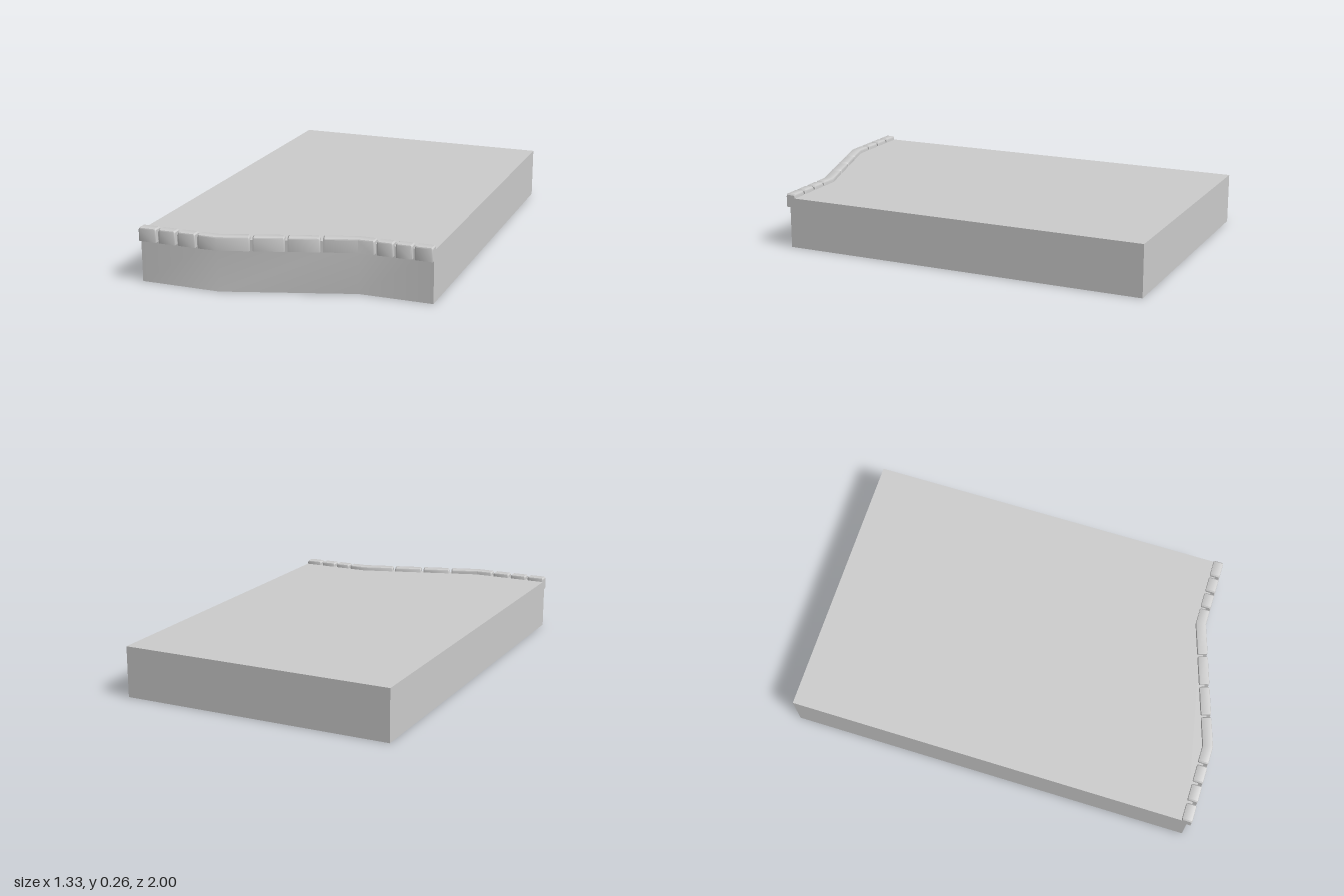
import * as THREE from 'three';
import { toCreasedNormals } from 'three/addons/utils/BufferGeometryUtils.js';

const HALF = 0.663, DECK = 0.245, CREASE = 0.5;
const material = new THREE.MeshStandardMaterial({ color: 0xcccccc });
const shellMaterial = new THREE.MeshStandardMaterial({ color: 0xcccccc, side: THREE.DoubleSide });

// Line of the front wall, [x, z], with two bends
const front = [[-HALF, 0.978], [-0.28, 0.978], [0.315, 0.786], [HALF, 0.786]];
const slope = (front[2][1] - front[1][1]) / (front[2][0] - front[1][0]);

// Point on the wall line at x, moved outward by d (mitred at the bends)
function along(x, d) {
  const [, b, c] = front;
  const z = b[1] + slope * (THREE.MathUtils.clamp(x, b[0], c[0]) - b[0]);
  const angle = Math.atan(slope);
  const onBend = x === b[0] || x === c[0];
  const a = onBend ? angle / 2 : x > b[0] && x < c[0] ? angle : 0;
  const len = onBend ? d / Math.cos(angle / 2) : d;
  return [x - Math.sin(a) * len, z + Math.cos(a) * len];
}

function fromTriangles(positions) {
  const g = new THREE.BufferGeometry();
  g.setAttribute('position', new THREE.Float32BufferAttribute(positions, 3));
  g.computeVertexNormals();
  return toCreasedNormals(g, CREASE);
}

function addMesh(group, name, geometry, mat) {
  const mesh = new THREE.Mesh(geometry, mat);
  mesh.name = name;
  group.add(mesh);
}

// Bevelled coping stone lofted along the wall from x0 to x1
function stoneGeometry(x0, x1) {
  const bevel = 0.006;
  const bends = [front[1][0], front[2][0]].filter((x) => x > x0 && x < x1);
  const stations = [[x0, bevel], [x0 + bevel, 0], ...bends.map((x) => [x, 0]), [x1 - bevel, 0], [x1, bevel]];
  const rings = stations.map(([x, inset]) => {
    const f = 0.022 - inset / 2, b = -0.028 + inset / 2, top = 0.265 - inset, r = 0.007;
    const profile = [[b + r, top], [f - r, top], [f - r * 0.3, top - r * 0.3], [f, top - r],
      [f, 0.2], [b, 0.2], [b, top - r], [b + r * 0.3, top - r * 0.3]];
    return profile.map(([d, y]) => {
      const [px, pz] = along(x, d);
      return [px, y, pz];
    });
  });
  const out = [];
  const tri = (a, b, c) => out.push(...a, ...b, ...c);
  const n = rings[0].length, last = rings[rings.length - 1];
  for (let j = 0; j < rings.length - 1; j++) {
    for (let i = 0; i < n; i++) {
      const k = (i + 1) % n, p = rings[j], q = rings[j + 1];
      tri(p[i], p[k], q[k]);
      tri(p[i], q[k], q[i]);
    }
  }
  for (let i = 1; i < n - 1; i++) {
    tri(rings[0][0], rings[0][i + 1], rings[0][i]);
    tri(last[0], last[i], last[i + 1]);
  }
  return fromTriangles(out);
}

export function createModel() {
  const model = new THREE.Group();
  model.name = 'terrace';
  const outline = [...front, [HALF, -1], [-HALF, -1]];

  // Flat deck
  const shape = new THREE.Shape(outline.map(([x, z]) => new THREE.Vector2(x, -z)));
  const deck = new THREE.ShapeGeometry(shape).rotateX(-Math.PI / 2).translate(0, DECK, 0);
  addMesh(model, 'deck', deck, shellMaterial);

  // Thin walls around the deck, open underneath
  const walls = [];
  outline.forEach(([x, z], i) => {
    const [u, w] = outline[(i + 1) % outline.length];
    walls.push(x, 0, z, u, 0, w, u, DECK, w, x, 0, z, u, DECK, w, x, DECK, z);
  });
  addMesh(model, 'walls', fromTriangles(walls), shellMaterial);

  // Row of coping stones along the front edge
  const coping = new THREE.Group();
  coping.name = 'coping';
  const spans = [[-HALF, -0.576], [-0.562, -0.48], [-0.466, -0.381], [-0.368, -0.142], [-0.13, 0.005],
    [0.017, 0.154], [0.166, 0.395], [0.407, 0.481], [0.494, 0.569], [0.581, HALF]];
  spans.forEach(([a, b], i) => addMesh(coping, `copingStone${i + 1}`, stoneGeometry(a, b), material));
  model.add(coping);
  return model;
}
